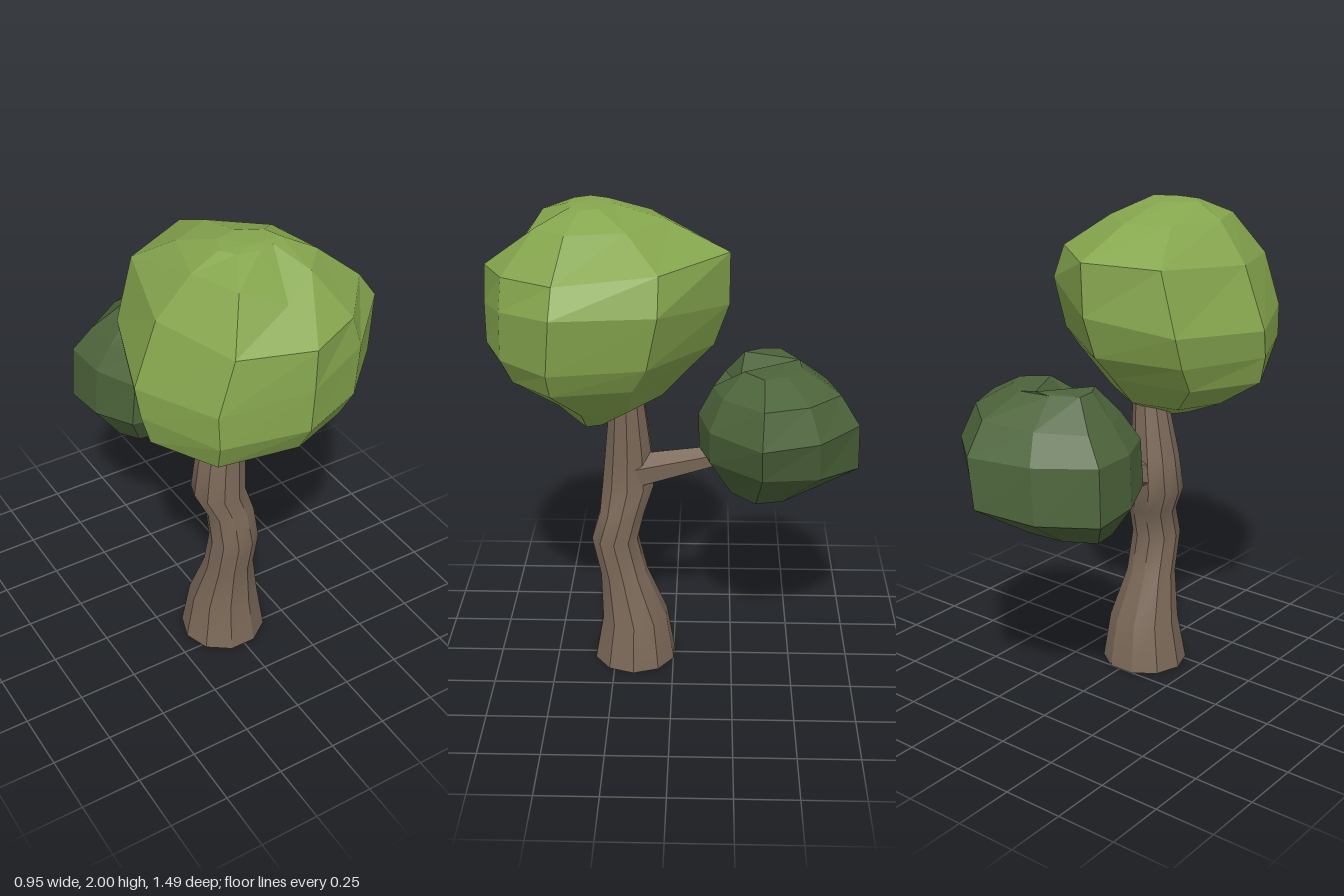
import * as THREE from 'three';

// Lofts stacked rings (top to bottom) into a closed mesh, one separate strip per
// side, so sides stay faceted while each strip can shade smoothly along its length.
// Each ring is an array of Vector3, ordered clockwise as seen from above.
function loft(name, rings, top, bottom, color, flatShading) {
  const n = rings[0].length;
  const last = rings[rings.length - 1];
  const pos = [], index = [];
  const add = (p) => pos.push(p.x, p.y, p.z) / 3 - 1;
  const tri = (a, b, c) => index.push(add(a), add(b), add(c));
  for (let j = 0; j < n; j++) {
    const k = (j + 1) % n;
    tri(top, rings[0][k], rings[0][j]);
    tri(bottom, last[j], last[k]);
    const strip = rings.map((r) => [add(r[j]), add(r[k])]);
    for (let i = 0; i < strip.length - 1; i++) {
      const [a, b] = strip[i], [d, c] = strip[i + 1];
      index.push(a, b, c, a, c, d);
    }
  }
  const geo = new THREE.BufferGeometry();
  geo.setAttribute('position', new THREE.Float32BufferAttribute(pos, 3));
  geo.setIndex(index);
  geo.computeVertexNormals();
  const mesh = new THREE.Mesh(geo, new THREE.MeshStandardMaterial({ color, flatShading }));
  mesh.name = name;
  return mesh;
}

// Scales a plan outline into rings;
// each level is [y, centreX, centreZ, scaleX, scaleZ, slopeX, slopeZ]
function makeRings(plan, levels) {
  return levels.map(([y, cx, cz, sx, sz, slopeX = 0, slopeZ = 0]) =>
    plan.map(([px, pz]) => {
      const dx = px * sx, dz = pz * sz;
      return new THREE.Vector3(cx + dx, y + dx * slopeX + dz * slopeZ, cz + dz);
    }));
}

const BARK = 0x7a6858;

function makeTrunk() {
  const sides = 10;
  const plan = Array.from({ length: sides }, (_, i) => {
    const t = ((i + 0.5) / sides) * Math.PI * 2;
    return [Math.sin(t) * 1.02, -Math.cos(t) * 1.02];
  });
  const levels = [
    [1.2, -0.01, 0.19, 0.07, 0.07],
    [0.95, -0.04, 0.187, 0.1, 0.098],
    [0.8, -0.05, 0.19, 0.11, 0.11],
    [0.69, -0.01, 0.215, 0.1, 0.095],
    [0.57, -0.008, 0.247, 0.102, 0.098],
    [0.4, -0.008, 0.21, 0.103, 0.1],
    [0.2, -0.005, 0.165, 0.145, 0.14],
    [0, -0.008, 0.167, 0.178, 0.174],
  ];
  return loft('trunk', makeRings(plan, levels),
    new THREE.Vector3(-0.01, 1.2, 0.19), new THREE.Vector3(-0.008, 0, 0.167), BARK, false);
}

function makeBranch() {
  const from = new THREE.Vector3(-0.025, 0.86, 0.18);
  const to = new THREE.Vector3(0.035, 0.98, -0.25);
  const dir = to.clone().sub(from);
  const geo = new THREE.CylinderGeometry(0.04, 0.082, dir.length(), 6);
  const mesh = new THREE.Mesh(geo, new THREE.MeshStandardMaterial({ color: BARK, flatShading: true }));
  mesh.position.copy(from).add(to).multiplyScalar(0.5);
  mesh.quaternion.setFromUnitVectors(new THREE.Vector3(0, 1, 0), dir.normalize());
  mesh.name = 'branch';
  return mesh;
}

function makeMainCrown() {
  const plan = [[0.01, -0.49], [0.385, -0.22], [0.475, 0.17], [0.26, 0.38],
    [0, 0.475], [-0.335, 0.38], [-0.48, 0.04], [-0.335, -0.36]];
  const levels = [
    [1.993, -0.02, 0.32, 0.25, 0.18],
    [1.93, -0.01, 0.3, 0.5, 0.58],
    [1.785, 0.01, 0.265, 0.82, 0.99, 0.03, -0.06],
    [1.6, 0, 0.27, 1, 1, 0.17],
    [1.43, -0.01, 0.3, 0.96, 0.94, 0.06],
    [1.325, -0.02, 0.32, 0.88, 0.78, 0.08],
    [1.2, -0.03, 0.275, 0.54, 0.46, 0.05],
    [1.11, -0.01, 0.32, 0.22, 0.15],
  ];
  const rings = makeRings(plan, levels);
  // Shallow dent below the top at the front
  rings[1][4].y -= 0.07;
  return loft('mainCrown', rings,
    new THREE.Vector3(-0.02, 2, 0.36), new THREE.Vector3(-0.01, 1.105, 0.32), 0x86a64e, true);
}

function makeSideCrown() {
  const plan = [[0.11, -0.325], [0.305, -0.155], [0.39, 0.075], [0.2, 0.28], [-0.01, 0.325],
    [-0.275, 0.26], [-0.36, 0.08], [-0.37, -0.12], [-0.16, -0.27]];
  const levels = [
    [1.365, 0.03, -0.385, 0.48, 0.38],
    [1.27, 0.05, -0.41, 0.8, 0.77, 0.06],
    [1.15, 0.04, -0.42, 0.98, 0.98],
    [0.965, 0.01, -0.425, 0.93, 0.99, 0.1, 0.08],
    [0.81, -0.02, -0.37, 0.56, 0.48, 0.06, 0.06],
  ];
  const rings = makeRings(plan, levels);
  // Crease running down from the top towards the trunk
  rings[0][4].y -= 0.1;
  return loft('sideCrown', rings,
    new THREE.Vector3(0.01, 1.375, -0.5), new THREE.Vector3(0, 0.8, -0.38), 0x4d643b, true);
}

export function createModel() {
  const tree = new THREE.Group();
  tree.name = 'tree';
  tree.add(makeTrunk(), makeBranch(), makeMainCrown(), makeSideCrown());
  return tree;
}
